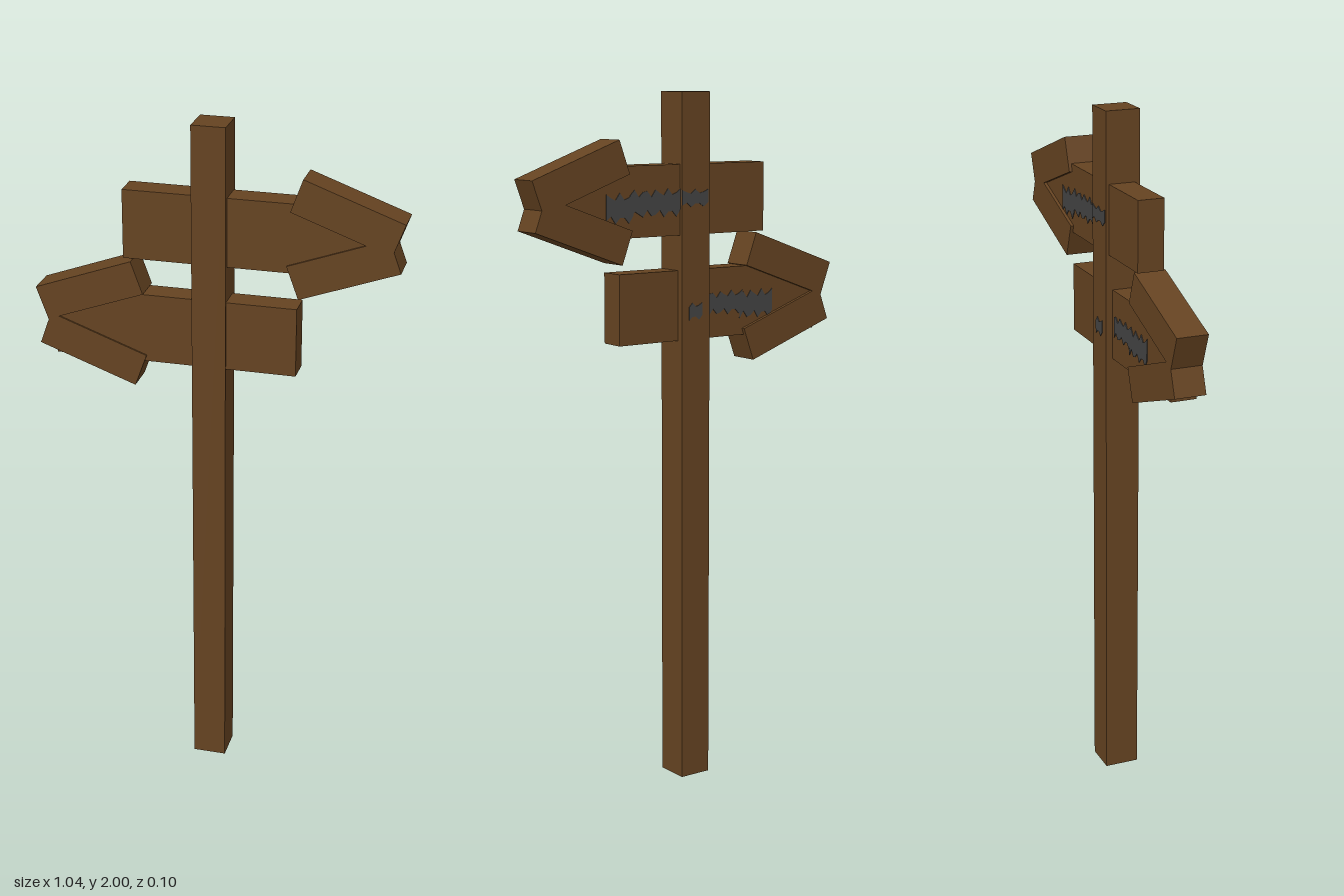
import * as THREE from 'three';

const wood = new THREE.MeshStandardMaterial({ color: 0x654321 });
wood.name = 'brown wood';
const paint = new THREE.MeshStandardMaterial({ color: 0x444444 });
paint.name = 'grey paint';

// Box given by its x, y and z ranges
function plank(name, [x0, x1], [y0, y1], [z0, z1], material = wood) {
  const mesh = new THREE.Mesh(new THREE.BoxGeometry(x1 - x0, y1 - y0, z1 - z0), material);
  mesh.position.set((x0 + x1) / 2, (y0 + y1) / 2, (z0 + z1) / 2);
  mesh.name = name;
  return mesh;
}

// Slanted plank forming one half of an arrowhead
function headPlank(name, x, y, z, degrees) {
  const mesh = new THREE.Mesh(new THREE.BoxGeometry(0.298, 0.1, 0.091), wood);
  mesh.position.set(x, y, z);
  mesh.rotation.z = THREE.MathUtils.degToRad(degrees);
  mesh.name = name;
  return mesh;
}

// Thin worn paint smudge with a jagged outline, on the back of the sign
function smudge(x0, x1, y, z, height) {
  const n = Math.max(4, Math.round((x1 - x0) / 0.014));
  const edge = (i, side) => new THREE.Vector2(
    x0 + (x1 - x0) * i / n,
    y + side * height * (0.36 + 0.14 * Math.sin(i * 2.3 + side)));
  const points = [];
  for (let i = 0; i <= n; i++) points.push(edge(i, -1));
  for (let i = n; i >= 0; i--) points.push(edge(i, 1));
  const geometry = new THREE.ExtrudeGeometry(new THREE.Shape(points), { depth: 0.004, bevelEnabled: false });
  const mesh = new THREE.Mesh(geometry, paint);
  mesh.position.z = z;
  mesh.name = 'paintSmudge';
  return mesh;
}

export function createModel() {
  const model = new THREE.Group();
  model.name = 'signpost';

  // Upright
  model.add(plank('post', [-0.067, 0.03], [0, 2], [-0.05, 0.05]));

  // Upper sign, pointing to +x
  const upper = new THREE.Group();
  upper.name = 'upperSign';
  upper.add(
    plank('upperBoard', [-0.267, 0.43], [1.602, 1.8], [-0.041, 0.035]),
    headPlank('upperHeadTop', 0.363, 1.774, -0.0045, -20),
    headPlank('upperHeadBottom', 0.355, 1.627, -0.0045, 20),
    smudge(0.19, 0.28, 1.685, -0.043, 0.085),
    smudge(0.03, 0.2, 1.695, -0.043, 0.08),
    smudge(-0.06, 0.03, 1.705, -0.052, 0.05));

  // Lower sign, pointing to -x
  const lower = new THREE.Group();
  lower.name = 'lowerSign';
  lower.add(
    plank('lowerBoard', [-0.465, 0.23], [1.302, 1.502], [-0.03, 0.045]),
    headPlank('lowerHeadTop', -0.365, 1.5, 0.0045, 20),
    headPlank('lowerHeadBottom', -0.357, 1.324, 0.0045, -20),
    smudge(-0.2, -0.08, 1.4, -0.032, 0.07),
    smudge(-0.31, -0.19, 1.39, -0.032, 0.085),
    smudge(-0.04, 0.005, 1.385, -0.052, 0.05));

  model.add(upper, lower);
  return model;
}
